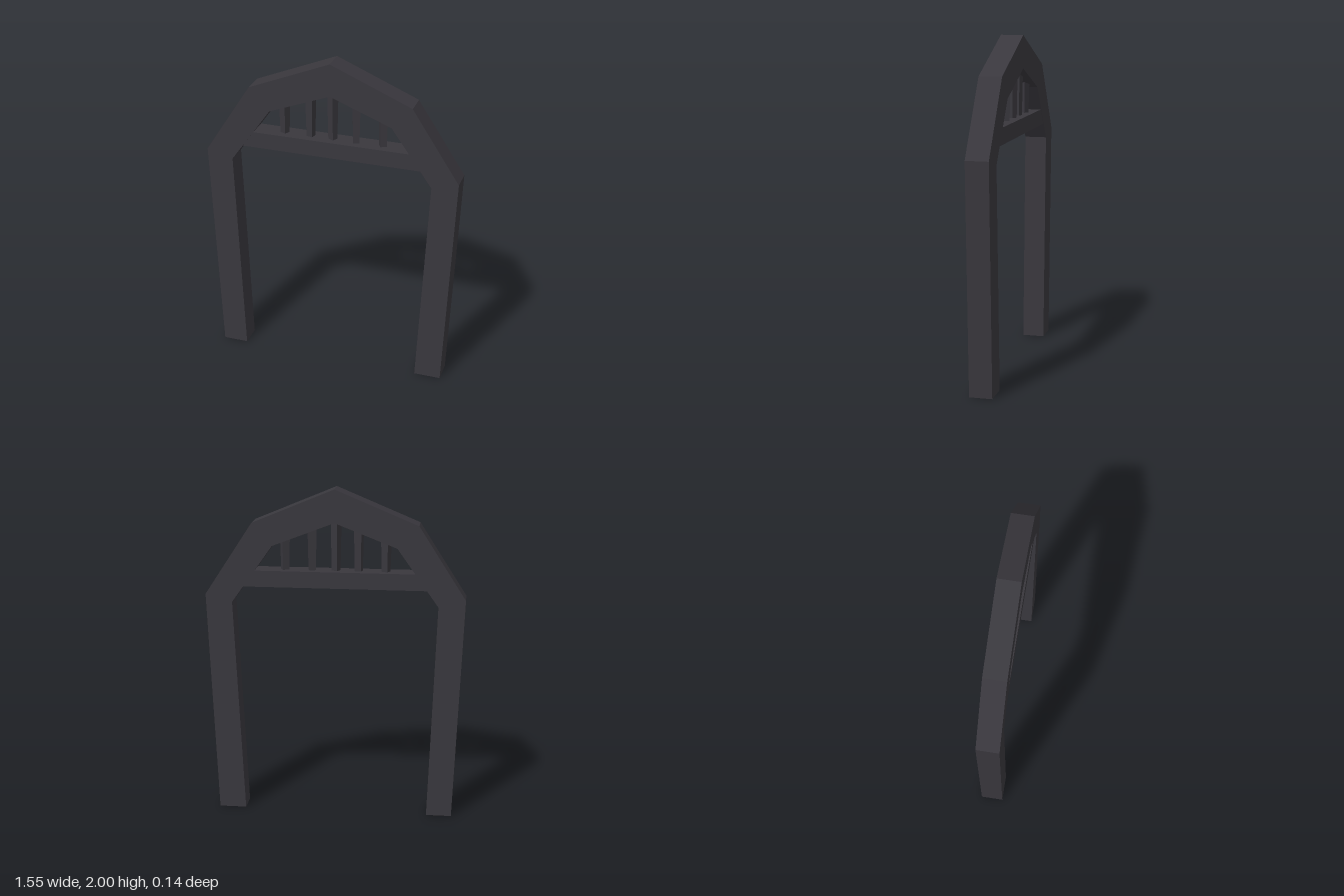
import * as THREE from 'three';

export function createModel() {
  const model = new THREE.Group();
  model.name = 'archway';
  const darkIron = new THREE.MeshStandardMaterial({ color: 0x39373d });
  darkIron.name = 'darkIron';

  const add = (geometry, name, x = 0, y = 0, z = 0) => {
    const mesh = new THREE.Mesh(geometry, darkIron);
    mesh.name = name;
    mesh.position.set(x, y, z);
    model.add(mesh);
    return mesh;
  };

  // Arch frame: outer edge from right foot to left foot, then back along the inner edge
  const depth = 0.136;
  const outline = [
    [-0.72, 0], [-0.775, 1.36], [-0.495, 1.795], [0, 2], [0.49, 1.795], [0.775, 1.36], [0.718, 0],
    [0.555, 0], [0.615, 1.315], [0.37, 1.66], [0, 1.803], [-0.37, 1.66], [-0.615, 1.315], [-0.567, 0],
  ];
  const shape = new THREE.Shape(outline.map(([x, y]) => new THREE.Vector2(x, y)));
  add(new THREE.ExtrudeGeometry(shape, { depth, bevelEnabled: false }), 'archFrame', 0, 0, -depth / 2);

  // Cross beam, its ends buried in the frame
  add(new THREE.BoxGeometry(1.12, 0.098, 0.13), 'crossBeam', 0, 1.46, 0);

  // Square spindles, wider at the top, each turned a little
  const spindles = [[-0.3, 0.35], [-0.138, 0.55], [-0.003, 0.3], [0.14, 1.1], [0.302, 1.25]];
  for (const [x, turn] of spindles) {
    const bottom = 1.48;
    const top = 1.83 - Math.abs(x) * 0.39;
    const spindle = add(
      new THREE.CylinderGeometry(0.033, 0.026, top - bottom, 4).toNonIndexed(),
      'spindle', x, (top + bottom) / 2, 0);
    spindle.geometry.computeVertexNormals();
    spindle.rotation.y = turn;
  }
  return model;
}
